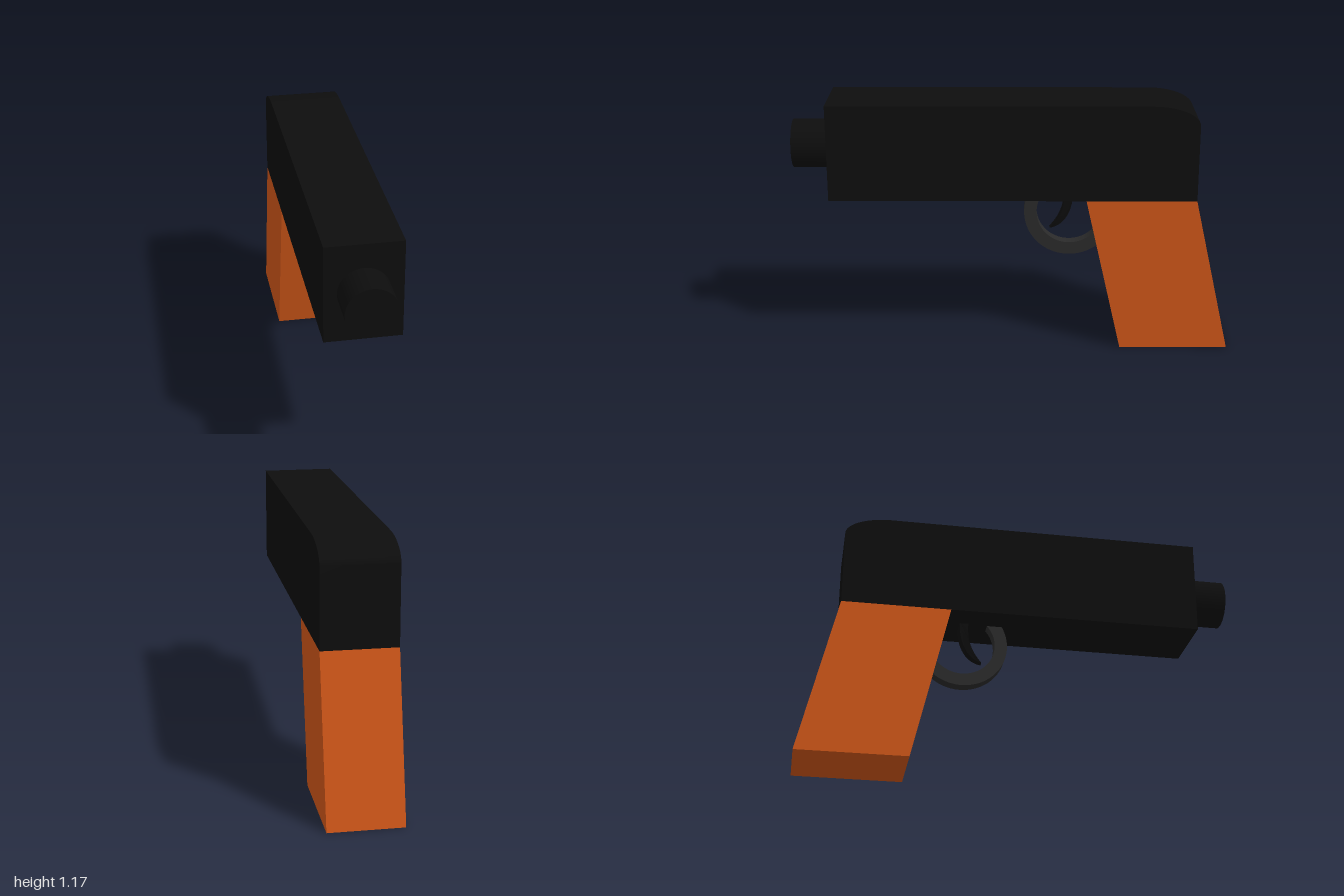
import * as THREE from 'three';
import { toCreasedNormals } from 'three/addons/utils/BufferGeometryUtils.js';

const material = (color) => new THREE.MeshStandardMaterial({ color });

// Extrudes a side outline drawn in (z, y) across the model's width.
function sideExtrude(shape, width, curveSegments = 24) {
  const g = new THREE.ExtrudeGeometry(shape, { depth: width, bevelEnabled: false, curveSegments });
  g.translate(0, 0, -width / 2);
  g.rotateY(-Math.PI / 2);
  return toCreasedNormals(g, 0.5);
}

export function createModel() {
  const group = new THREE.Group();
  const black = material(0x0d0d0d);
  const charcoal = material(0x2a2a2a);
  const orange = material(0xcc5518);
  const width = 0.333;

  const add = (name, geometry, mat) => {
    const mesh = new THREE.Mesh(geometry, mat);
    mesh.name = name;
    group.add(mesh);
    return mesh;
  };

  // Long body with a rounded upper rear edge
  const body = new THREE.Shape();
  body.moveTo(-0.833, 0.725);
  body.lineTo(0.833, 0.725);
  body.lineTo(0.833, 1.167);
  body.lineTo(-0.62, 1.167);
  body.absellipse(-0.62, 1.077, 0.213, 0.09, Math.PI / 2, Math.PI, false);
  body.closePath();
  add('body', sideExtrude(body, width), black);

  // Muzzle
  const muzzle = new THREE.CylinderGeometry(0.111, 0.111, 0.2, 48);
  muzzle.rotateX(Math.PI / 2);
  add('muzzle', muzzle, black).position.set(0, 0.948, 0.9);

  // Slanted grip
  const grip = new THREE.Shape([
    [-0.5, 0], [-0.333, 0.725], [-0.833, 0.725], [-1, 0],
  ].map(([z, y]) => new THREE.Vector2(z, y)));
  add('grip', sideExtrude(grip, width), orange);

  // Ring guard, running up into the body and back into the grip
  const guard = new THREE.Shape();
  guard.absarc(-0.262, 0.625, 0.21, 0, Math.PI * 2, false);
  const opening = new THREE.Path();
  opening.absarc(-0.262, 0.625, 0.152, 0, Math.PI * 2, true);
  guard.holes.push(opening);
  add('triggerGuard', sideExtrude(guard, 0.056, 48), charcoal);

  // Hooked trigger, narrowing towards its tip
  const hook = new THREE.Shape();
  hook.moveTo(-0.17, 0.54);
  hook.bezierCurveTo(-0.215, 0.585, -0.245, 0.64, -0.235, 0.74);
  hook.lineTo(-0.276, 0.74);
  hook.bezierCurveTo(-0.283, 0.63, -0.235, 0.55, -0.17, 0.54);
  const trigger = sideExtrude(hook, 0.074, 16);
  const p = trigger.attributes.position;
  for (let i = 0; i < p.count; i++) {
    const t = THREE.MathUtils.clamp((p.getY(i) - 0.53) / 0.16, 0.02, 1);
    p.setX(i, p.getX(i) * Math.pow(t, 0.35));
  }
  add('trigger', toCreasedNormals(trigger, 0.5), black);

  return group;
}
